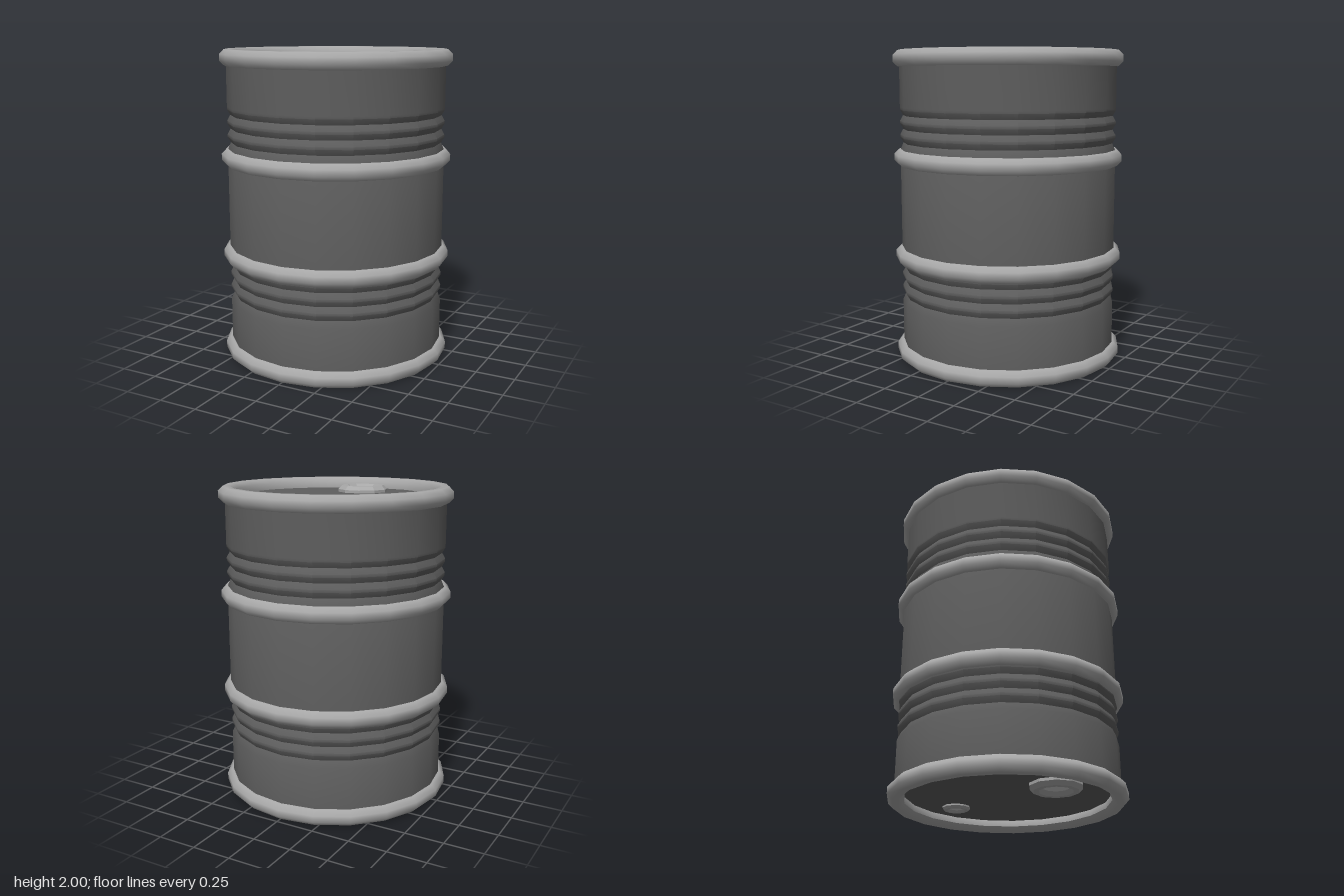
import * as THREE from 'three';
import { toCreasedNormals } from 'three/addons/utils/BufferGeometryUtils.js';

const SIDES = 20;
const LID = 1.93; // height of the recessed lid
const v = (x, y) => new THREE.Vector2(x, y);

// Closed octagonal tube section, seam on the lower inner side
function tubeProfile(radius, tube) {
  const points = [];
  for (let i = 0; i <= 8; i++) {
    const a = -Math.PI * 7 / 8 + i * Math.PI / 4;
    points.push(v(radius + tube * Math.cos(a), tube * Math.sin(a)));
  }
  return points;
}

// Three grooves with softly rounded ridges between them
function grooves(start) {
  const points = [v(0.70, start)];
  for (let i = 0; i < 3; i++) {
    const y = start + 0.045 + i * 0.0875;
    points.push(v(0.68, y), v(0.70, y + 0.035), v(0.70, y + 0.052));
  }
  return points;
}

export function createModel() {
  const group = new THREE.Group();
  const bodyMaterial = new THREE.MeshStandardMaterial({ color: 0x5e5e5e });
  const ringMaterial = new THREE.MeshStandardMaterial({ color: 0xa8a8a8 });
  const rimMaterial = new THREE.MeshStandardMaterial({ color: 0xa8a8a8, flatShading: true });
  const plugMaterial = new THREE.MeshStandardMaterial({ color: 0xcccccc });

  const add = (parent, name, geometry, material, x = 0, y = 0, z = 0) => {
    const mesh = new THREE.Mesh(geometry, material);
    mesh.name = name;
    mesh.position.set(x, y, z);
    parent.add(mesh);
    return mesh;
  };

  // Drum wall with both recessed lids
  const profile = [
    v(0, 2 - LID), v(0.70, 2 - LID),
    ...grooves(0.37), ...grooves(1.368),
    v(0.70, LID), v(0, LID),
  ];
  add(group, 'drumBody', toCreasedNormals(new THREE.LatheGeometry(profile, SIDES), 0.55), bodyMaterial);

  // Rolled hoops: two end rims and two middle bands
  const hoop = new THREE.LatheGeometry(tubeProfile(0.69, 0.055), SIDES);
  [['bottomRim', 0.052], ['lowerHoop', 0.685], ['upperHoop', 1.32], ['topRim', 1.949]]
    .forEach(([name, y]) => add(group, name, hoop, ringMaterial, 0, y, 0));

  // Filler openings, the same on the top and bottom lids
  const openings = [
    { name: 'largeBung', z: 0.37, radius: 0.1225, tube: 0.046 },
    { name: 'smallBung', z: -0.43, radius: 0.067, tube: 0.025 },
  ];
  for (const end of ['top', 'bottom']) {
    for (const { name, z, radius, tube } of openings) {
      const bung = new THREE.Group();
      bung.name = `${end}${name[0].toUpperCase()}${name.slice(1)}`;
      bung.position.set(0, end === 'top' ? LID : 2 - LID, z);
      if (end === 'bottom') bung.rotation.z = Math.PI;
      const start = Math.PI / 10;
      add(bung, 'bungRim', new THREE.LatheGeometry(tubeProfile(radius, tube), 10, start), rimMaterial);
      add(bung, 'bungPlug', new THREE.CylinderGeometry(radius, radius, 0.02, 10, 1, false, start),
        plugMaterial, 0, tube * 0.4 - 0.01, 0);
      group.add(bung);
    }
  }
  return group;
}
